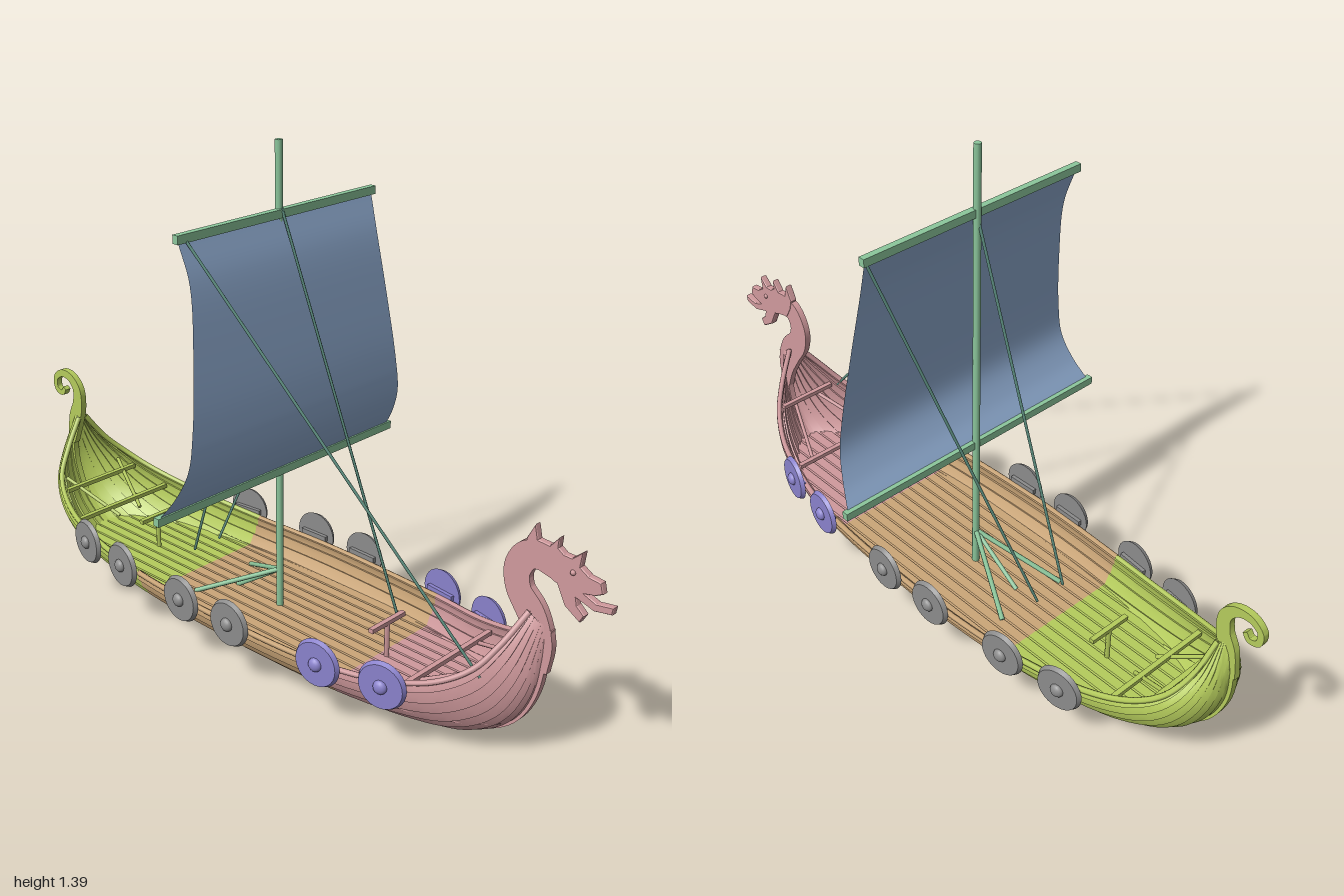
import * as THREE from 'three';
import { toCreasedNormals } from 'three/addons/utils/BufferGeometryUtils.js';

const V = (x, y, z) => new THREE.Vector3(x, y, z);
const mat = (color) => new THREE.MeshStandardMaterial({ color, side: THREE.DoubleSide });
const STERN = mat(0xb5cc5c), MIDDLE = mat(0xcba678), BOW = mat(0xd09a9d);
const SPAR = mat(0x8cc79c), SAIL = mat(0x8fabd0), ROPE = mat(0x5d8f80);
const GREY = mat(0x8c8c8c), PURPLE = mat(0x8a82cc);

// Hull stations, stern to bow: gunwale x, y, half breadth, keel x, keel y
const STATIONS = [
  [-0.88, 0.42, 0.012, -0.905, 0.43], [-0.865, 0.34, 0.07, -0.925, 0.335],
  [-0.83, 0.28, 0.125, -0.915, 0.24], [-0.76, 0.235, 0.165, -0.86, 0.14],
  [-0.64, 0.2, 0.2, -0.72, 0.06], [-0.47, 0.18, 0.225, -0.5, 0.022],
  [-0.35, 0.172, 0.238, -0.35, 0.014], [-0.05, 0.17, 0.25, -0.05, 0.01],
  [0.33, 0.172, 0.232, 0.33, 0.01], [0.5, 0.185, 0.2, 0.52, 0.016],
  [0.63, 0.22, 0.165, 0.66, 0.04], [0.71, 0.27, 0.12, 0.755, 0.1],
  [0.75, 0.33, 0.075, 0.81, 0.2], [0.785, 0.41, 0.014, 0.835, 0.38],
];
const LAST = STATIONS.length - 1;
const gunwale = new THREE.CatmullRomCurve3(STATIONS.map((s) => V(s[0], s[1], s[2])));
const keel = new THREE.CatmullRomCurve3(STATIONS.map((s) => V(s[3], s[4], 0)));
const SECTIONS = [['stern', 0, 6, STERN], ['middle', 6, 8, MIDDLE], ['bow', 8, LAST, BOW]];
const DECK_Y = 0.1, STRAKES = 8;

// Surface through a row of rings with equal point counts
function loft(rings, closed = false, crease = 0.6) {
  const n = rings[0].length, index = [], pos = rings.flat().flatMap((p) => [p.x, p.y, p.z]);
  for (let i = 0; i < rings.length - 1; i++) {
    for (let j = 0; j < (closed ? n : n - 1); j++) {
      const a = i * n + j, b = i * n + (j + 1) % n;
      index.push(a, b, a + n, b, b + n, a + n);
    }
  }
  const g = new THREE.BufferGeometry();
  g.setAttribute('position', new THREE.Float32BufferAttribute(pos, 3));
  g.setIndex(index);
  return toCreasedNormals(g, crease);
}

// Evenly spaced values from a to b
const steps = (a, b, n) => Array.from({ length: n + 1 }, (_, i) => a + (b - a) * i / n);

// Flat strip of varying width along a path of [x, y, width]
function band(points, depth, n = 40, from = 0, to = 1) {
  const path = new THREE.CatmullRomCurve3(points.map((p) => V(...p)));
  const rings = steps(from, to, n).map((t) => {
    const p = path.getPoint(t), d = path.getTangent(t), l = Math.hypot(d.x, d.y) || 1;
    const nx = -d.y / l * p.z / 2, ny = d.x / l * p.z / 2, h = depth / 2;
    return [V(p.x + nx, p.y + ny, h), V(p.x + nx, p.y + ny, -h), V(p.x - nx, p.y - ny, -h), V(p.x - nx, p.y - ny, h)];
  });
  const cap = (r) => { const c = r[0].clone().add(r[2]).multiplyScalar(0.5); return r.map(() => c); };
  return loft([cap(rings[0]), ...rings, cap(rings[n])], true);
}

// Round bar between two points
function bar(a, b, r, sides = 6) {
  const g = new THREE.CylinderGeometry(r, r, a.distanceTo(b), sides);
  g.applyQuaternion(new THREE.Quaternion().setFromUnitVectors(V(0, 1, 0), b.clone().sub(a).normalize()));
  return g.translate((a.x + b.x) / 2, (a.y + b.y) / 2, (a.z + b.z) / 2);
}

// Closed cross-section of the lapped planking, outside then inside
function hullRing(u) {
  const g = gunwale.getPoint(u / LAST), k = keel.getPoint(u / LAST);
  const lap = Math.min(0.007, g.z * 0.12), wall = Math.min(0.012, g.z * 0.5);
  const point = (s, off) => {
    const a = s * Math.PI / 2, d = Math.sin(a) ** 1.25;
    return V(g.x + (k.x - g.x) * d, g.y + (k.y - g.y) * d - off * Math.sin(a), Math.max(0, g.z * Math.cos(a) + off * Math.cos(a)));
  };
  const side = (base) => {
    const pts = [];
    for (let i = 0; i < STRAKES; i++) {
      for (const f of [0, 0.5, 1]) pts.push(point((i + f) / STRAKES, base + lap * f));
    }
    return pts;
  };
  const flip = (pts) => pts.map((p) => V(p.x, p.y, -p.z)).reverse();
  const out = side(0), inn = side(-wall);
  return [...out, ...flip(out), ...flip(inn).reverse(), ...inn.slice().reverse()];
}

// Planked deck cross-section, trimmed to the hull sides
function deckRing(u) {
  const g = gunwale.getPoint(u / LAST), k = keel.getPoint(u / LAST);
  const d = Math.min(1, (g.y - DECK_Y) / (g.y - k.y));
  const hw = g.z * Math.sqrt(Math.max(0, 1 - d ** 1.6)), x = g.x + (k.x - g.x) * d, pts = [];
  for (let j = -7; j < 7; j++) {
    const z = j * 0.034;
    for (const [dz, y] of [[0, -0.006], [0.003, 0], [0.031, 0], [0.034, -0.006]]) {
      pts.push(V(x, DECK_Y + y, THREE.MathUtils.clamp(z + dz, -hw, hw)));
    }
  }
  return pts;
}

// Gunwale parameter at a given x
function gunwaleAt(x) {
  let a = 0, b = 1;
  for (let i = 0; i < 30; i++) { const m = (a + b) / 2; if (gunwale.getPoint(m).x < x) a = m; else b = m; }
  return a;
}

export function createModel() {
  const model = new THREE.Group();
  const add = (name, geometry, material, parent = model) => {
    const m = new THREE.Mesh(geometry, material);
    m.name = name;
    parent.add(m);
    return m;
  };

  // Hull, keel, rails and deck in three coloured lengths
  for (const [name, a, b, m] of SECTIONS) {
    const n = Math.round((b - a) * 6);
    add(name + 'Hull', loft(steps(a, b, n).map(hullRing), true, 0.5), m);
    add(name + 'Keel', band(STATIONS.map((s) => [s[3], s[4], 0.02]), 0.018, n, a / LAST, b / LAST), m);
    add(name + 'Deck', loft(steps(Math.max(a, 3.5), Math.min(b, 10.95), 20).map(deckRing)), m);
    for (const side of [1, -1]) {
      const pts = steps(a, b, n).map((u) => gunwale.getPoint(u / LAST).multiply(V(1, 1, side)));
      add(name + 'Rail', new THREE.TubeGeometry(new THREE.CatmullRomCurve3(pts), n * 2, 0.008, 6), m);
    }
  }

  // Curled stern post
  add('sternCurl', band([[-0.925, 0.33, 0.03], [-0.905, 0.41, 0.05], [-0.888, 0.46, 0.042], [-0.89, 0.51, 0.034], [-0.92, 0.54, 0.027],
    [-0.96, 0.543, 0.022], [-0.989, 0.52, 0.018], [-0.985, 0.487, 0.017], [-0.96, 0.48, 0.016], [-0.947, 0.497, 0.014]], 0.018, 60), STERN);

  // Neck and beast head at the bow
  add('bowNeck', band([[0.825, 0.26, 0.03], [0.815, 0.34, 0.07], [0.785, 0.405, 0.085], [0.747, 0.455, 0.075], [0.74, 0.505, 0.072],
    [0.768, 0.55, 0.07], [0.82, 0.555, 0.07], [0.86, 0.54, 0.07]], 0.018, 50), BOW);
  const outline = [[0.79, 0.525], [0.85, 0.51], [0.875, 0.46], [0.915, 0.434], [0.925, 0.452], [0.905, 0.47], [0.9, 0.492],
    [0.95, 0.476], [0.995, 0.484], [0.998, 0.5], [0.955, 0.493], [0.918, 0.508], [0.95, 0.515], [0.968, 0.525], [0.962, 0.548],
    [0.93, 0.552], [0.905, 0.568], [0.91, 0.605], [0.885, 0.582], [0.862, 0.583], [0.845, 0.595], [0.847, 0.62], [0.825, 0.592],
    [0.79, 0.595], [0.782, 0.63], [0.762, 0.59], [0.77, 0.56]];
  const head = new THREE.Shape(outline.map(([x, y]) => new THREE.Vector2(x, y)));
  add('bowHead', new THREE.ExtrudeGeometry(head, { depth: 0.014, bevelEnabled: true, bevelSize: 0.002, bevelThickness: 0.003, bevelSegments: 1 })
    .translate(0, 0, -0.007), BOW);
  for (const z of [0.01, -0.01]) add('eye', new THREE.SphereGeometry(0.007, 8, 6).translate(0.89, 0.55, z), BOW);

  // Mast, its foot braces and the two yards
  const mx = -0.035;
  add('mast', bar(V(mx, DECK_Y - 0.02, 0), V(mx, 1.39, 0), 0.01, 8), SPAR);
  add('upperYard', new THREE.BoxGeometry(0.018, 0.022, 0.7).translate(mx + 0.005, 1.207, 0), SPAR);
  add('lowerYard', new THREE.BoxGeometry(0.018, 0.022, 0.88).translate(mx + 0.005, 0.51, 0), SPAR);
  for (const z of [0.11, 0, -0.11]) add('mastBrace', bar(V(mx, 0.21, 0), V(z ? -0.26 : -0.2, DECK_Y, z), 0.007), SPAR);

  // Billowing sail: [x, y, half width] from top to bottom
  const profile = new THREE.CatmullRomCurve3([[-0.03, 1.2, 0.342], [0, 1.1, 0.335], [0.025, 0.93, 0.352], [0.042, 0.75, 0.376],
    [0.04, 0.65, 0.392], [0.01, 0.575, 0.41], [-0.03, 0.515, 0.43]].map((p) => V(...p)));
  add('sail', loft(steps(0, 1, 36).map((t) => {
    const p = profile.getPoint(t);
    return steps(-p.z, p.z, 8).map((z) => V(p.x, p.y, z));
  }), false, 1), SAIL);

  // Rigging
  for (const [a, b] of [
    [V(mx, 1.2, -0.34), V(-0.33, 0.18, -0.05)], [V(mx, 1.2, 0), V(-0.33, 0.18, 0.045)],
    [V(mx + 0.01, 1.22, 0), V(0.34, 0.2, -0.05)], [V(mx + 0.01, 1.2, 0.32), V(0.725, 0.25, 0.11)],
  ]) add('rope', bar(a, b, 0.004, 5), ROPE);

  // Cross benches and T-shaped stands
  for (const [x, y, w, m] of [[-0.7, 0.19, 0.17, STERN], [-0.8, 0.24, 0.13, STERN], [0.55, 0.18, 0.17, BOW], [0.73, 0.26, 0.09, BOW]]) {
    add('crossBench', new THREE.BoxGeometry(0.014, 0.012, w * 2).translate(x, y, 0), m);
  }
  for (const [x, m] of [[-0.54, STERN], [0.35, BOW]]) {
    add('standPost', bar(V(x, DECK_Y - 0.01, 0), V(x, 0.2, 0), 0.007), m);
    add('standTop', new THREE.BoxGeometry(0.014, 0.012, 0.13).translate(x, 0.2, 0), m);
  }
  for (const s of [1, -1]) {
    add('sternStrut', bar(V(-0.67, 0.17, 0.04 * s), V(-0.84, 0.26, 0.1 * s), 0.006), STERN);
    add('bowStrut', bar(V(0.55, 0.17, 0.12 * s), V(0.74, 0.25, 0.04 * s), 0.006), BOW);
  }

  // Round shields hung along both gunwales
  const disc = new THREE.CylinderGeometry(0.06, 0.066, 0.012, 28).rotateX(Math.PI / 2);
  const boss = new THREE.SphereGeometry(0.019, 14, 6, 0, Math.PI * 2, 0, Math.PI / 2).scale(1, 0.7, 1).rotateX(Math.PI / 2).translate(0, 0, 0.006);
  const grip = new THREE.BoxGeometry(0.09, 0.016, 0.012).translate(0, 0, -0.011);
  for (const [x, m] of [[-0.585, GREY], [-0.405, GREY], [-0.145, GREY], [0.04, GREY], [0.335, PURPLE], [0.515, PURPLE]]) {
    const t = gunwaleAt(x), p = gunwale.getPoint(t), d = gunwale.getTangent(t);
    for (const s of [1, -1]) {
      const shield = new THREE.Group();
      shield.name = 'shield';
      add('shieldDisc', disc, m, shield);
      add('shieldBoss', boss, m, shield);
      add('shieldGrip', grip, m, shield);
      shield.position.set(x, 0.182, s * (p.z + 0.02));
      shield.rotation.y = Math.atan2(-d.z, s * d.x);
      model.add(shield);
    }
  }
  return model;
}
